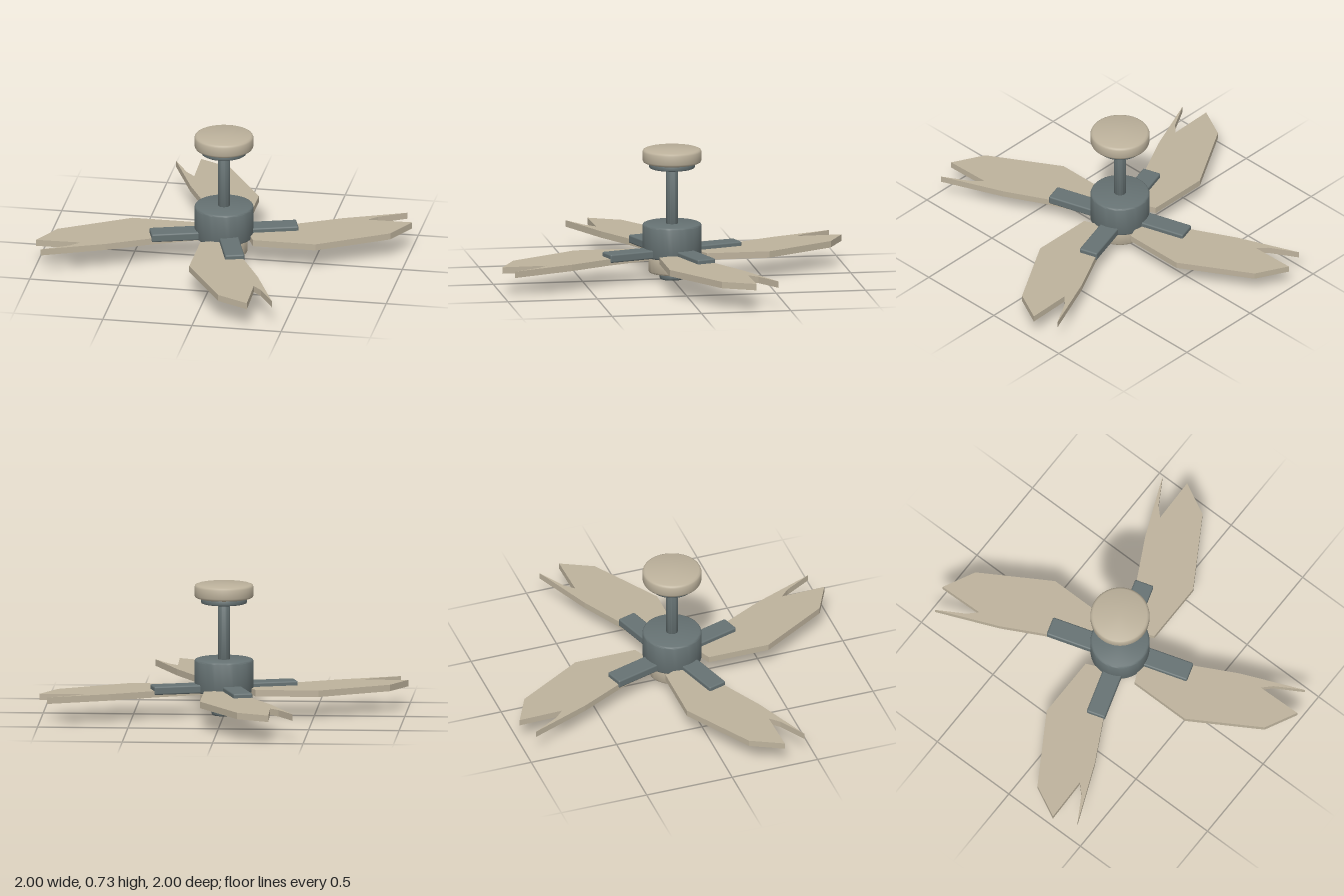
import * as THREE from 'three';
import { toCreasedNormals } from 'three/addons/utils/BufferGeometryUtils.js';
import { RoundedBoxGeometry } from 'three/addons/geometries/RoundedBoxGeometry.js';

const beige = new THREE.MeshStandardMaterial({ color: 0xbdb29c });
beige.name = 'beige';
const slate = new THREE.MeshStandardMaterial({ color: 0x667273 });
slate.name = 'slate';

// Upright disc with softly bevelled rims
function disc(name, radius, y0, y1, bevel, material) {
  const profile = [
    [0, y0], [radius - bevel, y0], [radius - bevel * 0.3, y0 + bevel * 0.3], [radius, y0 + bevel],
    [radius, y1 - bevel], [radius - bevel * 0.3, y1 - bevel * 0.3], [radius - bevel, y1], [0, y1],
  ].map(([x, y]) => new THREE.Vector2(x, y));
  const geometry = toCreasedNormals(new THREE.LatheGeometry(profile, 48), 0.85);
  const mesh = new THREE.Mesh(geometry, material);
  mesh.name = name;
  return mesh;
}

// Leaf-like blade outline with a notched tip, as x and z
function bladeGeometry() {
  const outline = [
    [0.11, -0.06], [0.18, 0.1], [0.53, 0.1], [0.91, -0.13], [1.0, -0.308],
    [0.75, -0.302], [0.8, -0.352], [0.95, -0.44], [0.61, -0.298], [0.38, -0.178],
  ].map(([x, z]) => new THREE.Vector2(x, z));
  const geometry = new THREE.ExtrudeGeometry(new THREE.Shape(outline), { depth: 0.036, bevelEnabled: false });
  geometry.rotateX(Math.PI / 2);
  geometry.translate(0, 0.156, 0);
  return geometry;
}

export function createModel() {
  const fan = new THREE.Group();
  fan.name = 'ceilingFan';

  // Ceiling mount, rod, motor and lower cap
  fan.add(
    disc('canopy', 0.163, 0.655, 0.73, 0.014, beige),
    disc('canopyCollar', 0.127, 0.625, 0.657, 0.006, slate),
    disc('downRod', 0.033, 0.3, 0.63, 0.002, slate),
    disc('motorHousing', 0.163, 0.13, 0.312, 0.01, slate),
    disc('lowerCap', 0.131, 0.038, 0.135, 0.01, beige),
    disc('bottomKnob', 0.068, 0, 0.042, 0.007, slate),
  );

  // Four blades, each with its bracket
  const bladeShape = bladeGeometry();
  const armShape = new RoundedBoxGeometry(0.3, 0.047, 0.108, 2, 0.009);
  armShape.translate(0.26, 0.157, -0.01);
  armShape.rotateY(THREE.MathUtils.degToRad(17.2));
  for (let i = 0; i < 4; i++) {
    const unit = new THREE.Group();
    unit.name = 'bladeUnit' + (i + 1);
    const blade = new THREE.Mesh(bladeShape, beige);
    blade.name = 'blade';
    const arm = new THREE.Mesh(armShape, slate);
    arm.name = 'bladeArm';
    unit.add(blade, arm);
    unit.rotation.y = i * Math.PI / 2;
    fan.add(unit);
  }
  return fan;
}
